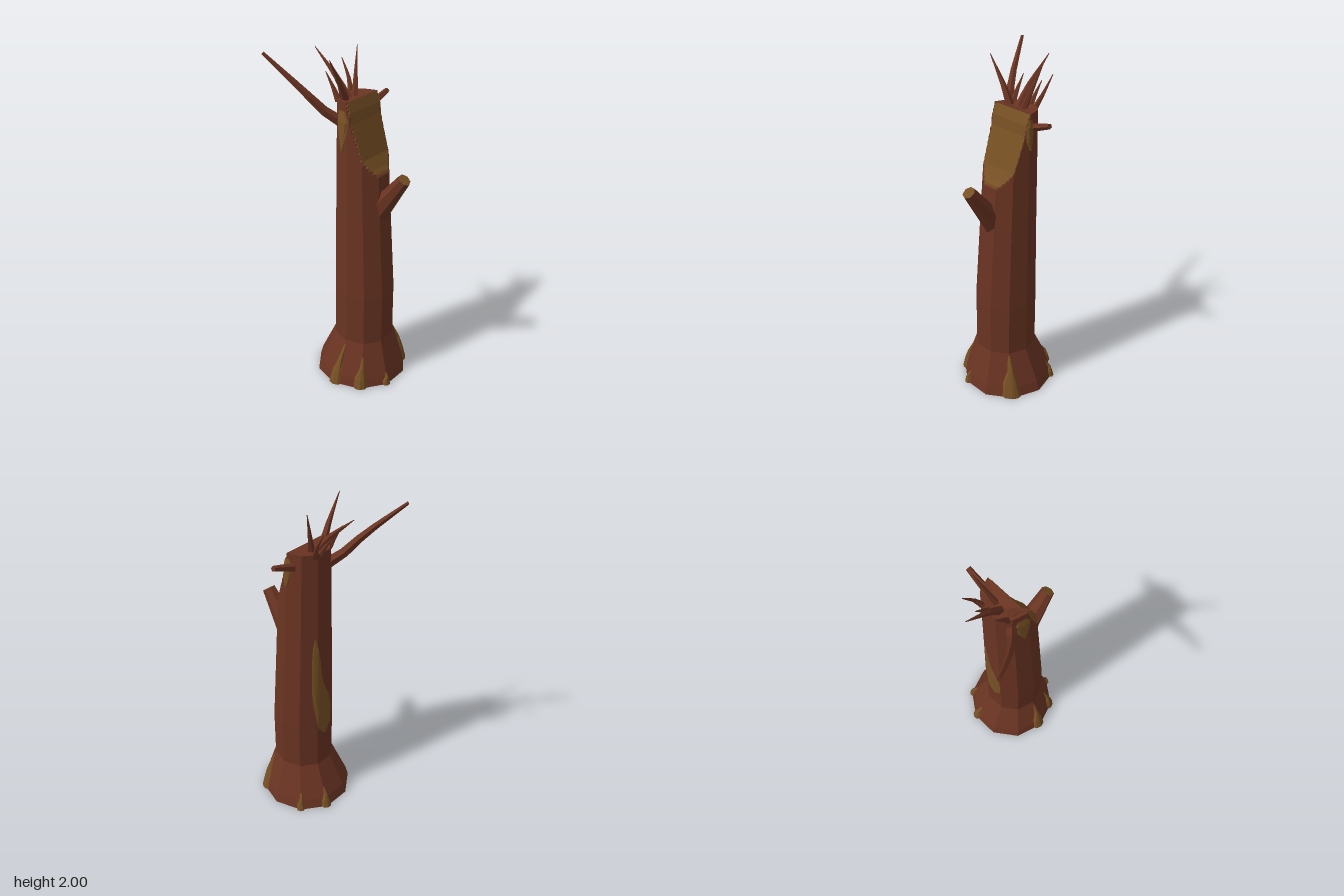
import * as THREE from 'three';

const bark = new THREE.MeshStandardMaterial({ color: 0x6a3422, flatShading: true, side: THREE.DoubleSide });
const wood = new THREE.MeshStandardMaterial({ color: 0x775024, flatShading: true, side: THREE.DoubleSide });
const V = (x, y, z) => new THREE.Vector3(x, y, z);

const SIDES = 10, TOP = 1.75;
// Trunk profile: y, radius, centre x, centre z
const PROFILE = [
  [0, 0.277, 0.025, 0.06], [0.06, 0.262, 0.025, 0.063], [0.27, 0.18, 0.025, 0.08],
  [0.58, 0.18, 0.027, 0.08], [1.1, 0.162, 0.031, 0.062], [TOP, 0.14, 0.04, 0.04],
];
// Slanted break at the front: y, furthest z
const BREAK = [[1.3, 0.24], [1.36, 0.178], [1.43, 0.138], [1.63, 0.07], [1.69, 0.062], [TOP, 0.04]];

// Linear interpolation in a table keyed by its first column
function sample(table, y) {
  let i = 0;
  while (i < table.length - 2 && y > table[i + 1][0]) i++;
  const a = table[i], b = table[i + 1], t = (y - a[0]) / (b[0] - a[0]);
  return a.map((v, k) => v + (b[k] - v) * t);
}

// Point on the trunk at height y; s counts sides around it, the front flat being 9 to 10
function trunkPoint(y, s, offset = 0) {
  const [, r, cx, cz] = sample(PROFILE, y);
  const k = Math.floor(s), f = s - k;
  const corner = (n) => {
    const a = ((n + 0.5) * 2 * Math.PI) / SIDES;
    return V(cx + (r + offset) * Math.sin(a), y, cz + (r + offset) * Math.cos(a));
  };
  const p = corner(k).lerp(corner(k + 1), f);
  let cut = false;
  if (y > 1.3) {
    const limit = sample(BREAK, y)[1] + offset, z0 = -0.03;
    if (p.z > limit) {
      cut = true;
      p.lerp(V(cx, y, z0), 1 - (limit - z0) / (p.z - z0));
    }
  }
  return { p, cut };
}

function triangles(points) {
  const g = new THREE.BufferGeometry().setFromPoints(points);
  g.computeVertexNormals();
  return g;
}

function add(parent, name, geometry, material) {
  const m = new THREE.Mesh(geometry, material);
  m.name = name;
  parent.add(m);
  return m;
}

// Trunk walls, sorted into bark and bare broken wood, plus caps
function buildTrunk(parent) {
  const ys = PROFILE.slice(0, 5).map((r) => r[0]);
  for (let i = 0; i <= 22; i++) ys.push(1.31 + (i * (TOP - 1.31)) / 22);
  const n = SIDES * 8, outer = [], broken = [];
  for (let j = 0; j < ys.length - 1; j++) {
    for (let i = 0; i < n; i++) {
      const q = [[i, j], [i + 1, j], [i + 1, j + 1], [i, j + 1]].map(([a, b]) => trunkPoint(ys[b], a / 8));
      for (const [a, b, c] of [[0, 1, 2], [0, 2, 3]]) {
        const t = [q[a], q[b], q[c]];
        const list = t.filter((v) => v.cut).length > 1 ? broken : outer;
        list.push(...t.map((v) => v.p));
      }
    }
  }
  for (let i = 0; i < n; i++) {
    outer.push(V(0.04, TOP - 0.015, -0.03), trunkPoint(TOP, i / 8).p, trunkPoint(TOP, (i + 1) / 8).p);
    outer.push(V(0.025, 0, 0.06), trunkPoint(0, (i + 1) / 8).p, trunkPoint(0, i / 8).p);
  }
  add(parent, 'trunk', triangles(outer), bark);
  add(parent, 'brokenFace', triangles(broken), wood);
}

// Raised patch of bare wood following the trunk; rows are [y, s from, s to]
function patch(parent, name, rows, height, edge) {
  const n = 6, out = [];
  const at = (j, i) => {
    const [y, a, b] = rows[j];
    const rim = i === 0 || i === n || j === rows.length - 1;
    return trunkPoint(y, a + ((b - a) * i) / n, rim ? edge : height).p;
  };
  for (let j = 0; j < rows.length - 1; j++) {
    for (let i = 0; i < n; i++) {
      const [a, b, c, d] = [at(j, i), at(j, i + 1), at(j + 1, i + 1), at(j + 1, i)];
      out.push(a, b, c, a, c, d);
    }
  }
  add(parent, name, triangles(out), wood);
}

// Tapering limb along a curve
function limb(parent, name, points, r0, r1, sides = 5) {
  const curve = new THREE.CatmullRomCurve3(points.map((p) => V(...p)));
  const segs = 5, g = new THREE.TubeGeometry(curve, segs, r0, sides);
  const pos = g.attributes.position, v = V(0, 0, 0);
  for (let i = 0; i < pos.count; i++) {
    const t = Math.floor(i / (sides + 1)) / segs;
    v.fromBufferAttribute(pos, i).lerp(curve.getPointAt(t), t * (1 - r1 / r0));
    pos.setXYZ(i, v.x, v.y, v.z);
  }
  g.computeVertexNormals();
  return add(parent, name, g, bark);
}

// Straight broken-off branch with a bare end
function stub(parent, name, from, to, r0, r1, sides, endMaterial) {
  const a = V(...from), b = V(...to), d = b.clone().sub(a);
  const g = new THREE.CylinderGeometry(r1, r0, d.length(), sides);
  const m = add(parent, name, g, [bark, endMaterial, bark]);
  m.position.copy(a).add(b).multiplyScalar(0.5);
  m.quaternion.setFromUnitVectors(V(0, 1, 0), d.normalize());
}

export function createModel() {
  const tree = new THREE.Group();
  tree.name = 'brokenTreeTrunk';
  buildTrunk(tree);

  // Bare root wedges: side position, half width, height
  const roots = [[0.95, 0.36, 0.27], [3, 0.16, 0.11], [4, 0.2, 0.13], [7, 0.27, 0.26], [8, 0.25, 0.2], [9, 0.16, 0.08]];
  for (const [s, w, h] of roots) {
    patch(tree, 'rootWedge', [
      [0, s - w, s + w], [h * 0.3, s - w * 0.95, s + w * 0.85],
      [h * 0.6, s - w * 0.35, s + w * 0.5], [h, s - 0.03, s + 0.05],
    ], 0.014, -0.002);
  }

  // Stripped bark on the back and around the upper branches
  patch(tree, 'strippedBark', [
    [0.5, 4.45, 4.6], [0.56, 4.05, 4.95], [0.68, 3.85, 5.0], [0.78, 3.7, 4.85],
    [0.9, 3.65, 4.4], [1.05, 3.65, 4.2], [1.15, 3.7, 4.05], [1.22, 3.8, 3.85],
  ], 0.006, 0.003);
  patch(tree, 'branchScar', [[1.55, 2.0, 2.1], [1.6, 1.75, 2.3], [1.68, 1.75, 2.4], [1.72, 1.9, 2.2]], 0.01, 0.003);
  patch(tree, 'branchScar', [[1.47, 6.6, 6.7], [1.56, 6.25, 7.0], [1.64, 6.1, 7.2], [1.7, 6.3, 6.9]], 0.01, 0.003);

  // Broken branches
  stub(tree, 'frontStub', [0.03, 1.1, 0.165], [0.027, 1.345, 0.345], 0.07, 0.038, 7, wood);
  stub(tree, 'sideStub', [0.14, 1.66, 0.01], [0.3, 1.715, 0.018], 0.026, 0.016, 5, bark);
  limb(tree, 'longBranch', [[-0.06, 1.62, -0.03], [-0.12, 1.68, -0.09], [-0.19, 1.79, -0.17], [-0.3, 1.995, -0.36]], 0.032, 0.009);

  // Splinters along the broken rim
  const splinters = [
    [[[-0.035, 1.73, -0.015], [-0.08, 1.83, -0.01], [-0.178, 1.99, -0.003]], 0.026],
    [[[0.015, 1.73, -0.04], [0.013, 1.82, -0.1], [0.01, 1.98, -0.265]], 0.026],
    [[[0.06, 1.73, -0.025], [0.1, 1.85, -0.05], [0.15, 1.995, -0.08]], 0.02],
    [[[0.09, 1.73, -0.08], [0.115, 1.8, -0.11], [0.13, 1.91, -0.175]], 0.018],
    [[[-0.05, 1.73, -0.05], [-0.052, 1.79, -0.08], [-0.055, 1.88, -0.135]], 0.02],
    [[[0.055, 1.73, -0.08], [0.055, 1.78, -0.11], [0.056, 1.86, -0.165]], 0.018],
  ];
  for (const [points, r] of splinters) limb(tree, 'splinter', points, r, 0.002);

  return tree;
}
